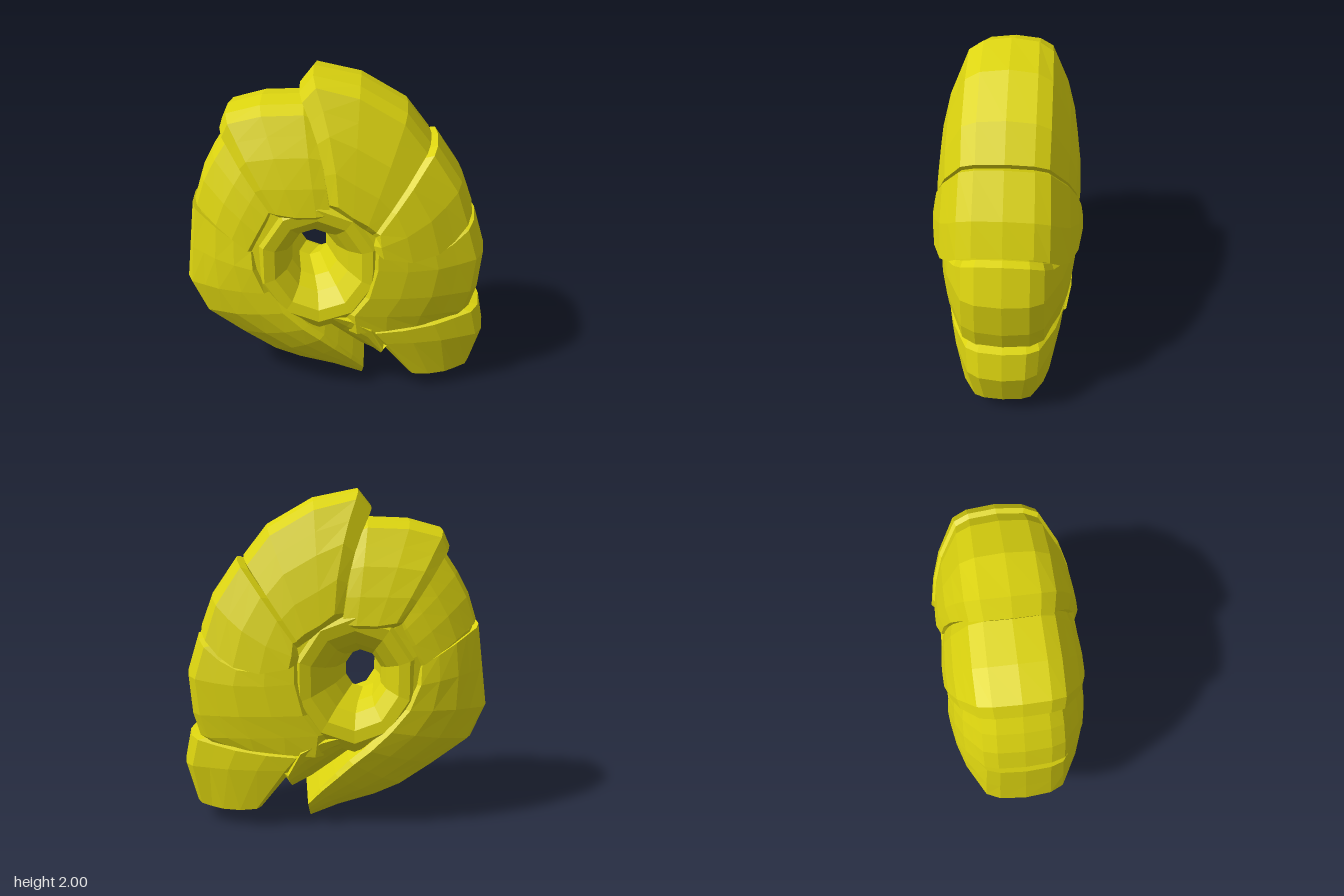
import * as THREE from 'three';

const material = new THREE.MeshStandardMaterial({ color: 0xdcd40f, flatShading: true, roughness: 0.8 });
const HUB = [-0.1, 0.91];

// Cross-section of a plate: [fraction from outer rim to inner end, half width in z]
const PROFILE = [[0, 0], [0.025, 0.155], [0.09, 0.235], [0.25, 0.285], [0.42, 0.338], [0.68, 0.385], [0.93, 0.41], [1, 0.37]];

// Closed section on a spoke [outerX, outerY, innerX, innerY, width, sag]
function section([ox, oy, ix, iy, w = 1, sag = 0]) {
  const dx = ix - ox, dy = iy - oy, len = Math.hypot(dx, dy);
  const at = (t, z) => {
    const s = sag * 4 * t * (1 - t) / len;
    return [ox + dx * t - dy * s, oy + dy * t + dx * s, z * w];
  };
  const front = PROFILE.map(([t, z]) => at(t, z));
  const back = PROFILE.slice(1).reverse().map(([t, z]) => at(t, -z));
  return [...front, ...back];
}

// Loft through spokes listed in order round the shell, with capped ends
function loft(spokes) {
  const rings = spokes.map(section), n = rings[0].length, pos = [];
  const tri = (a, b, c) => pos.push(...a, ...b, ...c);
  for (let i = 0; i < rings.length - 1; i++) {
    for (let j = 0; j < n; j++) {
      const k = (j + 1) % n;
      tri(rings[i][j], rings[i][k], rings[i + 1][j]);
      tri(rings[i][k], rings[i + 1][k], rings[i + 1][j]);
    }
  }
  const cap = (ring, flip) => {
    const c = [0, 1, 2].map(a => ring.reduce((s, p) => s + p[a], 0) / n);
    ring.forEach((p, j) => {
      const q = ring[(j + 1) % n];
      if (flip) tri(c, q, p); else tri(c, p, q);
    });
  };
  cap(rings[0], true);
  cap(rings[rings.length - 1], false);
  // Turn all faces outward if the enclosed volume is negative
  let volume = 0;
  const v = i => new THREE.Vector3().fromArray(pos, i);
  for (let i = 0; i < pos.length; i += 9) volume += v(i).dot(v(i + 3).cross(v(i + 6)));
  if (volume < 0) {
    for (let i = 0; i < pos.length; i += 9) {
      for (let a = 0; a < 3; a++) [pos[i + 3 + a], pos[i + 6 + a]] = [pos[i + 6 + a], pos[i + 3 + a]];
    }
  }
  const g = new THREE.BufferGeometry();
  g.setAttribute('position', new THREE.Float32BufferAttribute(pos, 3));
  g.computeVertexNormals();
  return g;
}

const PLATES = {
  tailPlate: [
    [-0.87, 1.21, -0.46, 0.98, 0.92], [-0.9, 0.95, -0.45, 0.88, 0.97], [-0.93, 0.71, -0.38, 0.74, 1],
    [-0.84, 0.51, -0.27, 0.62, 1.03], [-0.62, 0.355, -0.16, 0.51, 1.02], [-0.42, 0.22, -0.07, 0.43, 0.97],
    [-0.26, 0.15, 0.01, 0.34, 0.88], [-0.03, 0.08, 0.1, 0.23, 0.74], [0.15, 0.003, 0.17, 0.13, 0.6],
  ],
  lowerBackPlate: [
    [-0.85, 1.24, -0.48, 0.99, 0.96], [-0.8, 1.4, -0.42, 1.1, 0.96],
    [-0.73, 1.53, -0.37, 1.19, 0.94], [-0.65, 1.65, -0.33, 1.27, 0.9],
  ],
  upperBackPlate: [
    [-0.68, 1.68, -0.35, 1.22, 0.95], [-0.64, 1.77, -0.31, 1.21, 0.99], [-0.44, 1.825, -0.21, 1.19, 1],
    [-0.19, 1.835, -0.1, 1.19, 0.98], [-0.12, 1.8, -0.02, 1.2, 0.94],
  ],
  topPlate: [
    [-0.22, 1.9, -0.03, 1.26, 0.95, 0.04], [-0.14, 2.0, 0.02, 1.25, 1.01, 0.04], [0.13, 1.945, 0.1, 1.19, 1.02],
    [0.4, 1.79, 0.17, 1.15, 1.02], [0.54, 1.61, 0.21, 1.12, 1.01],
  ],
  upperFrontPlate: [
    [0.53, 1.58, 0.2, 1.12, 0.98], [0.58, 1.6, 0.23, 1.11, 1.04], [0.73, 1.38, 0.22, 1.06, 1.07, 0.05],
    [0.8, 1.19, 0.23, 1.02, 1.08, 0.13],
  ],
  shoulderPlate: [
    [0.77, 1.15, 0.2, 1.08, 0.93, 0.14], [0.82, 1.14, 0.2, 1.04, 0.97, 0.13], [0.89, 0.91, 0.2, 0.91, 0.98, 0.03],
    [0.87, 0.68, 0.15, 0.72, 1], [0.83, 0.54, 0.06, 0.6, 1], [0.78, 0.5, 0.08, 0.46, 0.96],
  ],
  headPlate: [
    [0.83, 0.55, 0.21, 0.46, 0.86, 0.02], [0.885, 0.54, 0.19, 0.45, 0.9, 0.02],
    [0.92, 0.36, 0.26, 0.37, 0.86], [0.85, 0.12, 0.45, 0.12, 0.71, 0.02],
  ],
  // Rounded edge facing the slit beside the tail
  chin: [
    [-0.24, 0.58, -0.15, 0.61, 0.9], [-0.17, 0.51, -0.05, 0.59, 0.95], [0.0, 0.38, 0.1, 0.56, 0.97],
    [0.14, 0.28, 0.22, 0.5, 0.97], [0.26, 0.22, 0.29, 0.35, 0.9], [0.29, 0.27, 0.31, 0.36, 0.85],
  ],
};

// Body under the plates, seen only in the grooves
const CORE = [[-0.93, 0.75], [-0.87, 1.21], [-0.67, 1.66], [-0.2, 1.85], [0.13, 1.9],
  [0.54, 1.59], [0.79, 1.18], [0.88, 0.88], [0.83, 0.56]].map(([x, y]) => {
  const dx = x - HUB[0], dy = y - HUB[1], r = Math.hypot(dx, dy);
  const along = f => [HUB[0] + dx * f, HUB[1] + dy * f];
  return [...along(0.95), ...along(0.31 / r), 0.92];
});

export function createModel() {
  const group = new THREE.Group();
  const add = (name, geometry) => {
    const mesh = new THREE.Mesh(geometry, material);
    mesh.name = name;
    group.add(mesh);
    return mesh;
  };

  for (const [name, spokes] of Object.entries(PLATES)) add(name, loft(spokes));
  add('innerBody', loft(CORE));

  // Funnel-shaped hub with a hole right through, its waist set off toward the back of the shell
  const half = [[0.115, 0], [0.15, 0.2], [0.2, 0.3], [0.28, 0.385], [0.35, 0.395], [0.41, 0.35]];
  const rim = [...half, ...half.slice(1).reverse().map(([r, z]) => [r, -z]), half[0]];
  const hubGeometry = new THREE.LatheGeometry(rim.map(([r, z]) => new THREE.Vector2(r, z)).reverse(), 10);
  hubGeometry.rotateX(Math.PI / 2);
  hubGeometry.scale(0.95, 1.05, 1);
  const p = hubGeometry.attributes.position;
  for (let i = 0; i < p.count; i++) p.setX(i, p.getX(i) - 0.08 * Math.max(0, 1 - Math.abs(p.getZ(i)) / 0.35));
  add('hub', hubGeometry).position.set(...HUB, 0);

  return group;
}
